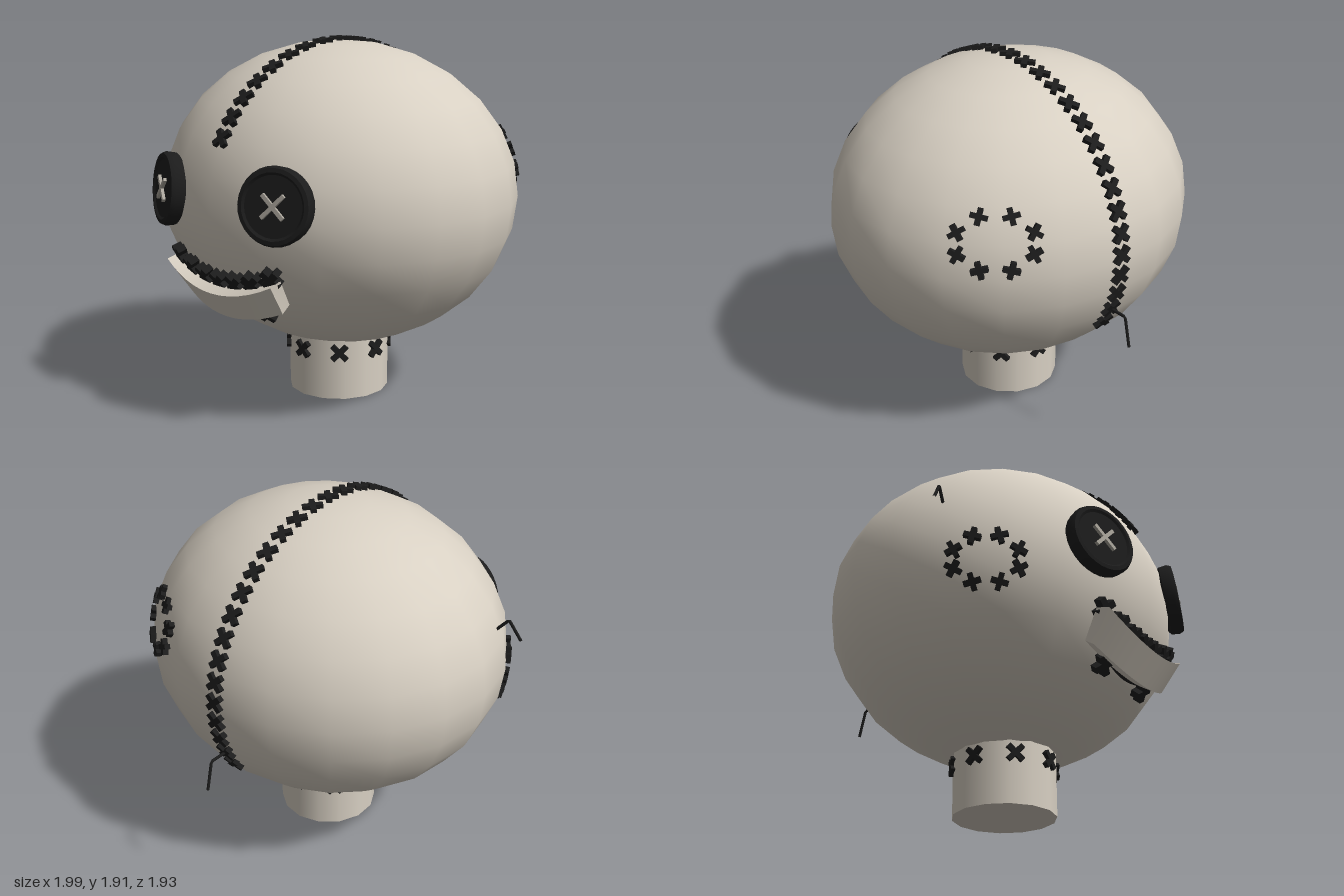
import * as THREE from 'three';
import { toCreasedNormals } from 'three/addons/utils/BufferGeometryUtils.js';

const V = (x, y, z) => new THREE.Vector3(x, y, z);
const C = V(0.015, 1.09, 0.03); // head centre
const R = V(0.98, 0.8, 0.9);    // head radii
const UP = V(0, 1, 0);

const material = (name, color) => {
  const m = new THREE.MeshStandardMaterial({ color });
  m.name = name;
  return m;
};

// Point on the head nearest in direction to p, with its outward normal
function onHead(p) {
  const d = p.clone().sub(C).divide(R).normalize();
  return { pos: d.clone().multiply(R).add(C), normal: d.clone().divide(R).normalize() };
}

// Point on the front of the head at a given x and y
function onFront(x, y) {
  const u = (x - C.x) / R.x, v = (y - C.y) / R.y;
  return onHead(V(x, y, C.z + R.z * Math.sqrt(Math.max(0, 1 - u * u - v * v))));
}

// Turns an object so that its z follows the normal and its y follows the hint
function orient(object, pos, normal, hint) {
  const x = hint.clone().cross(normal).normalize();
  const y = normal.clone().cross(x);
  object.quaternion.setFromRotationMatrix(new THREE.Matrix4().makeBasis(x, y, normal));
  object.position.copy(pos);
  return object;
}

function cross(name, mat, length, width, depth) {
  const g = new THREE.Group();
  g.name = name;
  for (const s of [-1, 1]) {
    const arm = new THREE.Mesh(new THREE.BoxGeometry(length, width, depth), mat);
    arm.name = name + 'Arm';
    arm.rotation.z = s * Math.PI / 4;
    g.add(arm);
  }
  return g;
}

// Flat-sided surface through rows of points, with optional end caps for closed loops
function skin(rows, closed) {
  const out = [];
  const tri = (...ps) => ps.forEach(p => out.push(p.x, p.y, p.z));
  const n = rows[0].length;
  for (let i = 0; i < rows.length - 1; i++) {
    for (let k = 0; k < (closed ? n : n - 1); k++) {
      const a = rows[i][k], b = rows[i + 1][k];
      const c = rows[i + 1][(k + 1) % n], d = rows[i][(k + 1) % n];
      tri(a, b, c);
      tri(a, c, d);
    }
  }
  if (closed) {
    const s = rows[0], e = rows[rows.length - 1];
    for (let k = 1; k < n - 1; k++) {
      tri(s[0], s[k], s[k + 1]);
      tri(e[0], e[k + 1], e[k]);
    }
  }
  const g = new THREE.BufferGeometry();
  g.setAttribute('position', new THREE.Float32BufferAttribute(out, 3));
  return toCreasedNormals(g, 0.6);
}

export function createModel() {
  const model = new THREE.Group();
  const cloth = material('cloth', 0xd8d0c3);
  const black = material('black', 0x1c1c1c);
  const thread = material('greyThread', 0xaaa59b);
  const add = (name, geometry, mat, parent = model) => {
    const m = new THREE.Mesh(geometry, mat);
    m.name = name;
    parent.add(m);
    return m;
  };
  const group = name => {
    const g = new THREE.Group();
    g.name = name;
    model.add(g);
    return g;
  };

  // Head and neck
  const head = add('head', new THREE.SphereGeometry(1, 20, 14), cloth);
  head.scale.copy(R);
  head.position.copy(C);
  add('neck', new THREE.CylinderGeometry(0.27, 0.27, 0.38, 14), cloth).position.set(0.02, 0.19, 0.035);

  // Seam over the crown, from forehead to nape
  const seam = group('headSeam');
  for (let i = 0; i < 24; i++) {
    const a = THREE.MathUtils.degToRad(62.9 - i * 182 / 23);
    const s = onHead(V(C.x, C.y + R.y * Math.cos(a), C.z + R.z * Math.sin(a)));
    seam.add(orient(cross('seamStitch', black, 0.105, 0.03, 0.035), s.pos, s.normal, V(0, s.normal.z, -s.normal.y)));
  }

  // Neck stitches
  const neckSeam = group('neckSeam');
  for (let i = 0; i < 8; i++) {
    const n = V(Math.sin(i * Math.PI / 4), 0, Math.cos(i * Math.PI / 4));
    const p = V(0.02, 0.26, 0.035).addScaledVector(n, 0.27);
    neckSeam.add(orient(cross('neckStitch', black, 0.105, 0.028, 0.03), p, n, UP));
  }

  // Two oval rings of stitches
  for (const [name, centre, rx, ry] of [
    ['cheekPatch', V(-0.82, 0.98, 0.485), 0.17, 0.125],
    ['backPatch', V(0.607, 1.28, -0.655), 0.2, 0.14]]) {
    const g = group(name);
    const c = onHead(centre);
    const side = UP.clone().cross(c.normal).normalize();
    const top = c.normal.clone().cross(side);
    for (let i = 0; i < 8; i++) {
      const a = (i + 0.5) * Math.PI / 4;
      const out = side.clone().multiplyScalar(rx * Math.cos(a)).addScaledVector(top, ry * Math.sin(a));
      const s = onHead(c.pos.clone().add(out));
      g.add(orient(cross('patchStitch', black, 0.085, 0.026, 0.03), s.pos, s.normal, out));
    }
  }

  // Button eyes with crossed thread
  const profile = [[0, -0.04], [0.165, -0.04], [0.185, -0.025], [0.19, 0.02], [0.18, 0.042], [0.16, 0.045], [0.148, 0.036], [0, 0.036]]
    .map(p => new THREE.Vector2(...p));
  const button = toCreasedNormals(new THREE.LatheGeometry(profile, 28).rotateX(Math.PI / 2), 0.6);
  for (const [name, x, y] of [['rightEye', -0.38, 1.158], ['leftEye', 0.41, 1.183]]) {
    const eye = group(name);
    const s = onFront(x, y);
    orient(eye, s.pos.addScaledVector(s.normal, 0.005), s.normal, UP);
    add('button', button, black, eye);
    const x2 = cross('eyeThread', thread, 0.155, 0.02, 0.02);
    x2.position.z = 0.042;
    eye.add(x2);
  }

  // Dark mouth lying on the head
  const ts = Array.from({ length: 13 }, (_, i) => i / 6 - 1);
  const rows = ts.map(t => Array.from({ length: 6 }, (_, k) => {
    const y = THREE.MathUtils.lerp(0.6 + 0.12 * t * t, 0.77 + 0.075 * t * t, k / 5);
    const s = onFront(C.x + 0.35 * t, y);
    return s.pos.addScaledVector(s.normal, 0.012);
  }));
  add('mouth', skin(rows, false), black);

  // Mouth stitches
  const mouthSeam = group('mouthSeam');
  const stitchMouth = (x, y) => {
    const s = onFront(x, y);
    s.pos.addScaledVector(s.normal, 0.015);
    mouthSeam.add(orient(cross('mouthStitch', black, 0.11, 0.035, 0.05), s.pos, s.normal, UP));
  };
  for (let i = -3; i <= 3; i++) stitchMouth(C.x + i * 0.112, 0.765 + 0.0072 * i * i);
  for (const s of [-1, 1]) stitchMouth(C.x + s * 0.2, 0.615);

  // Curved lower lip, swept from a four-cornered section
  add('lowerLip', skin(ts.map(t => {
    const q = t * t;
    return [
      V(C.x + 0.39 * t, 0.70 + 0.097 * q, 0.93 - 0.04 * q),
      V(C.x + 0.385 * t, 0.73 + 0.085 * q, 0.87 - 0.05 * q),
      V(C.x + 0.355 * t, 0.595 + 0.08 * q, 0.77 - 0.035 * q),
      V(C.x + 0.36 * t, 0.56 + 0.08 * q, 0.83 - 0.045 * q)];
  }), true), cloth);

  // Loose thread ends, bent once
  const looseEnd = (name, pts) => {
    const path = new THREE.CurvePath();
    for (let i = 0; i < pts.length - 1; i++) path.add(new THREE.LineCurve3(pts[i], pts[i + 1]));
    add(name, new THREE.TubeGeometry(path, 16, 0.008, 6), black);
  };
  looseEnd('cheekThreadEnd', [V(-0.99, 1.29, 0.302), V(-0.925, 1.395, 0.282), V(-0.85, 1.31, 0.26)]);
  looseEnd('napeThreadEnd', [V(C.x, 0.795, -0.78), V(C.x, 0.8, -0.92), V(C.x, 0.645, -0.958)]);

  return model;
}
